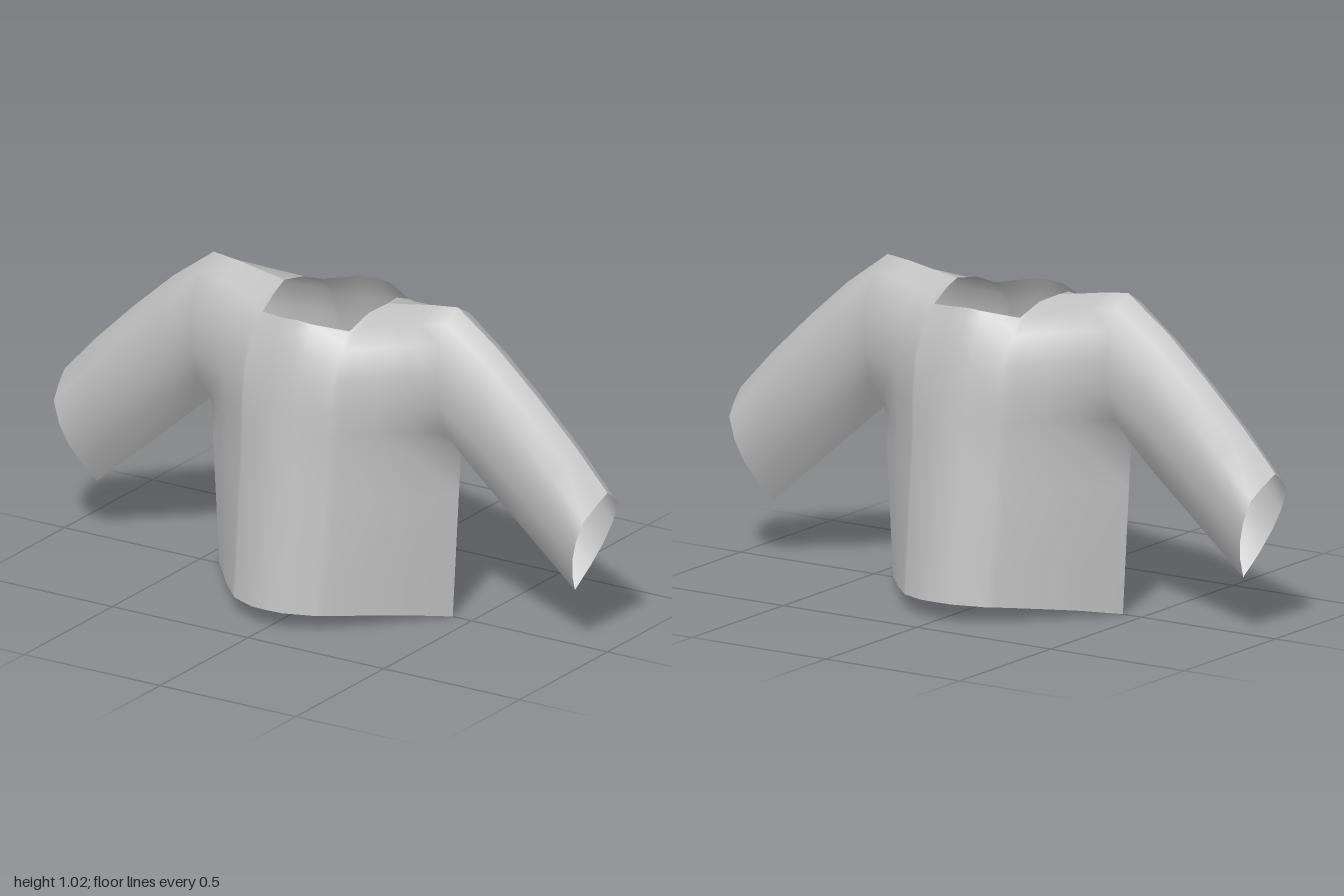
import * as THREE from 'three';

// Height fractions of the points in every section
const ROWS = [0, 0.2, 0.4, 0.6, 0.8, 0.92, 1];

// Sections from the centre line out to the cuff:
// [lower x, y], [upper x, y], depth at each row, hem depth (torso only)
const SECTIONS = [
  { lo: [0, 0.54], hi: [0, 0.96], z: [0.335, 0.325, 0.312, 0.297, 0.27, 0.243, 0.22], hem: 0.4 },
  { lo: [0.06, 0.54], hi: [0.055, 0.957], z: [0.33, 0.32, 0.308, 0.293, 0.267, 0.24, 0.22], hem: 0.395 },
  { lo: [0.16, 0.54], hi: [0.16, 0.94], z: [0.285, 0.285, 0.28, 0.268, 0.238, 0.203, 0.17], hem: 0.345 },
  { lo: [0.18, 0.54], hi: [0.172, 0.975], z: [0.268, 0.27, 0.266, 0.255, 0.22, 0.165, 0.08], hem: 0.325 },
  { lo: [0.2, 0.54], hi: [0.19, 0.985], z: [0.25, 0.255, 0.25, 0.24, 0.205, 0.14, 0], hem: 0.305 },
  { lo: [0.28, 0.54], hi: [0.28, 1.0], z: [0.185, 0.198, 0.202, 0.195, 0.165, 0.11, 0], hem: 0.22 },
  { lo: [0.37, 0.54], hi: [0.365, 1.015], z: [0.098, 0.14, 0.16, 0.16, 0.135, 0.085, 0], hem: 0.11 },
  { lo: [0.46, 0.54], hi: [0.45, 1.025], z: [0, 0.085, 0.122, 0.13, 0.107, 0.065, 0], hem: 0 },
  { lo: [0.56, 0.455], hi: [0.6, 0.915], z: [0, 0.075, 0.105, 0.115, 0.1, 0.06, 0] },
  { lo: [0.67, 0.36], hi: [0.74, 0.79], z: [0, 0.07, 0.102, 0.113, 0.1, 0.057, 0] },
  { lo: [0.775, 0.27], hi: [0.88, 0.655], z: [0, 0.065, 0.1, 0.112, 0.1, 0.053, 0] },
  { lo: [0.88, 0.18], hi: [1, 0.525], z: [0, 0.052, 0.088, 0.105, 0.098, 0.045, 0] },
];
const HEM_STEPS = 4;

// Points of one section, from hem (or lower sleeve seam) up to the upper edge
function sectionPoints({ lo, hi, z, hem }, side) {
  const points = [];
  if (hem !== undefined) {
    const hemX = lo[0] * 0.43 / 0.46;
    const hemY = 0.06 * (1 - (hemX / 0.43) ** 2);
    for (let i = 0; i < HEM_STEPS; i++) {
      const t = i / HEM_STEPS;
      points.push([
        side * THREE.MathUtils.lerp(hemX, lo[0], t),
        THREE.MathUtils.lerp(hemY, lo[1], t),
        THREE.MathUtils.lerp(hem, z[0], t),
      ]);
    }
  }
  ROWS.forEach((v, i) => points.push([
    side * THREE.MathUtils.lerp(lo[0], hi[0], v),
    THREE.MathUtils.lerp(lo[1], hi[1], v),
    z[i],
  ]));
  return points;
}

// One whole cloth panel, cuff to cuff; facing is +1 for front and -1 for back
function panelGeometry(facing) {
  const columns = [
    ...SECTIONS.slice(1).reverse().map((s) => sectionPoints(s, -1)),
    ...SECTIONS.map((s) => sectionPoints(s, 1)),
  ];
  const positions = [];
  const index = [];
  const starts = columns.map((column) => {
    const start = positions.length / 3;
    column.forEach(([x, y, z]) => positions.push(x, y, z * facing));
    return start;
  });
  for (let c = 0; c + 1 < columns.length; c++) {
    // Columns line up at their upper ends; sleeves have no hem rows
    const rows = Math.min(columns[c].length, columns[c + 1].length);
    const left = starts[c] + columns[c].length - rows;
    const right = starts[c + 1] + columns[c + 1].length - rows;
    for (let r = 0; r + 1 < rows; r++) {
      const [a, b, d, e] = [left + r, right + r, right + r + 1, left + r + 1];
      // Mirror the diagonal on the two halves
      const tris = c < columns.length / 2 - 1
        ? [[a, b, d], [a, d, e]]
        : [[a, b, e], [b, d, e]];
      tris.forEach(([p, q, s]) => index.push(...(facing > 0 ? [p, q, s] : [p, s, q])));
    }
  }
  const geometry = new THREE.BufferGeometry();
  geometry.setAttribute('position', new THREE.Float32BufferAttribute(positions, 3));
  geometry.setIndex(index);
  geometry.computeVertexNormals();
  return geometry;
}

export function createModel() {
  const cloth = new THREE.MeshStandardMaterial({ color: 0xbfbfbf, side: THREE.DoubleSide });
  cloth.name = 'greyCloth';

  const shirt = new THREE.Group();
  shirt.name = 'shirt';

  // Front and back panels meet at the shoulder, sleeve and side seams
  [['frontPanel', 1], ['backPanel', -1]].forEach(([name, facing]) => {
    const panel = new THREE.Mesh(panelGeometry(facing), cloth);
    panel.name = name;
    shirt.add(panel);
  });
  return shirt;
}
